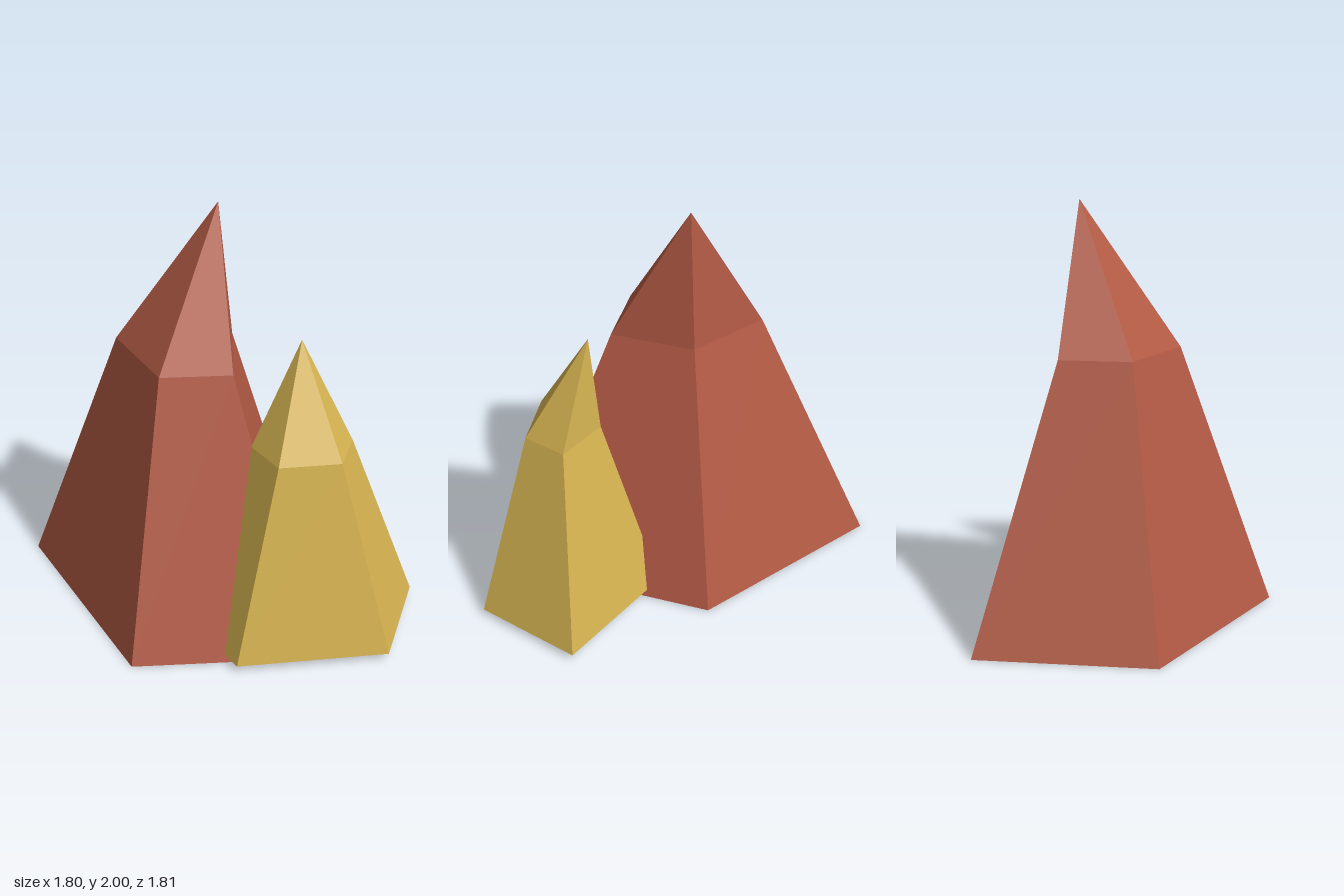
import * as THREE from 'three';

// Five-sided crystal: a base ring, a shrunken and shifted shoulder ring, and a point.
// The base runs counterclockwise as seen from above.
function crystal(name, material, { base, baseY, shoulderY, scale, shift, apex }) {
  const low = base.map(([x, z]) => [x, baseY, z]);
  const high = base.map(([x, z]) => [x * scale + shift[0], shoulderY, z * scale + shift[1]]);
  const n = base.length;
  const points = [];
  for (let i = 0; i < n; i++) {
    const j = (i + 1) % n;
    points.push(low[i], low[j], high[j], low[i], high[j], high[i]); // side
    points.push(high[i], high[j], apex); // tip facet
    if (i > 0 && i < n - 1) points.push(low[0], low[j], low[i]); // underside
  }
  const geometry = new THREE.BufferGeometry();
  geometry.setAttribute('position', new THREE.Float32BufferAttribute(points.flat(), 3));
  geometry.computeVertexNormals(); // unshared corners give flat facets
  const mesh = new THREE.Mesh(geometry, material);
  mesh.name = name;
  return mesh;
}

export function createModel() {
  const red = new THREE.MeshStandardMaterial({ color: 0xb25a44 });
  red.name = 'brick red';
  const yellow = new THREE.MeshStandardMaterial({ color: 0xd4b250 });
  yellow.name = 'ochre yellow';

  const model = new THREE.Group();
  model.name = 'crystalCluster';

  // Tall crystal, leaning to one side
  model.add(crystal('tallCrystal', red, {
    base: [[-0.9, -0.33], [-0.55, 0.74], [0.29, 0.83], [0.47, -0.19], [-0.27, -0.905]],
    baseY: 0, shoulderY: 1.3, scale: 0.404, shift: [-0.111, 0.013],
    apex: [0.005, 2, -0.035],
  }));

  // Short crystal, growing out of the tall one
  model.add(crystal('shortCrystal', yellow, {
    base: [[-0.28, 0.36], [-0.07, 0.87], [0.655, 0.905], [0.9, 0.41], [0.32, 0.08]],
    baseY: 0.035, shoulderY: 0.98, scale: 0.404, shift: [0.183, 0.319],
    apex: [0.313, 1.48, 0.395],
  }));

  return model;
}
